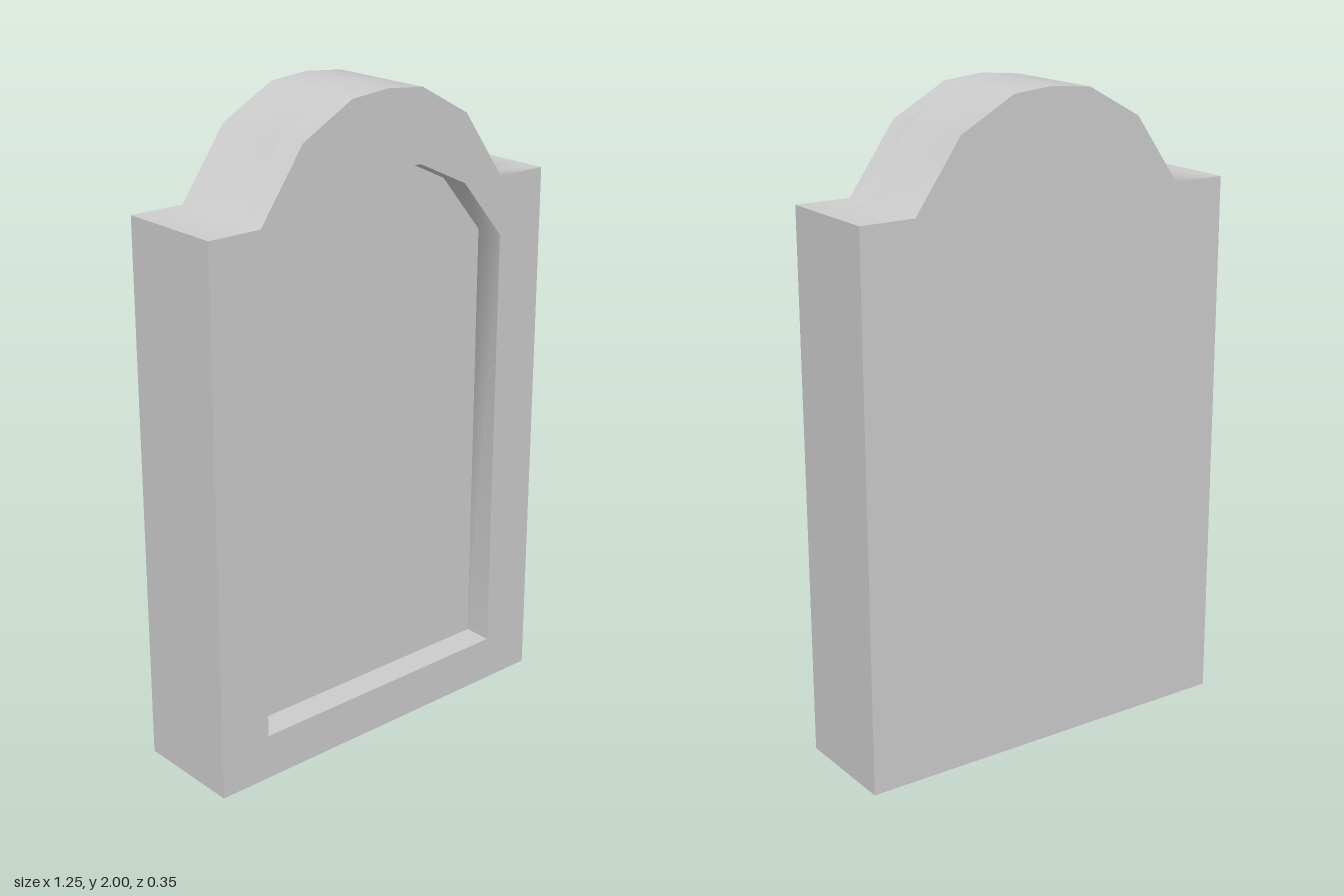
import * as THREE from 'three';
import { toCreasedNormals } from 'three/addons/utils/BufferGeometryUtils.js';

const HALF_DEPTH = 0.174;
const RECESS = 0.09;

// Mirror a right-hand profile (listed bottom to top) into a closed counter-clockwise outline
function mirrored(profile) {
  const right = profile.map(([x, y]) => new THREE.Vector2(x, y));
  const left = profile.map(([x, y]) => new THREE.Vector2(-x, y)).filter((p) => p.x < 0).reverse();
  return [...right, ...left];
}

// Extrude a shape between two z positions, smoothing only the gentle bends
function slab(name, shape, z0, z1, material) {
  const extruded = new THREE.ExtrudeGeometry(shape, { depth: z1 - z0, bevelEnabled: false });
  extruded.translate(0, 0, z0);
  const mesh = new THREE.Mesh(toCreasedNormals(extruded, THREE.MathUtils.degToRad(60)), material);
  mesh.name = name;
  return mesh;
}

export function createModel() {
  const group = new THREE.Group();
  group.name = 'headstone';
  const stone = new THREE.MeshStandardMaterial({ color: 0xcccccc });

  // Shouldered outline with a faceted arch
  const outline = mirrored([
    [0.627, 0], [0.627, 1.683], [0.453, 1.683], [0.305, 1.892], [0.13, 1.988], [0, 2],
  ]);
  // Arched panel sunk into the front
  const panel = mirrored([
    [0.457, 0.142], [0.457, 1.503], [0.305, 1.685], [0.13, 1.768], [0, 1.779],
  ]);

  const floorZ = HALF_DEPTH - RECESS;
  group.add(slab('backSlab', new THREE.Shape(outline), -HALF_DEPTH, floorZ, stone));

  const frame = new THREE.Shape(outline);
  frame.holes.push(new THREE.Path(panel));
  group.add(slab('frontFrame', frame, floorZ, HALF_DEPTH, stone));

  return group;
}
